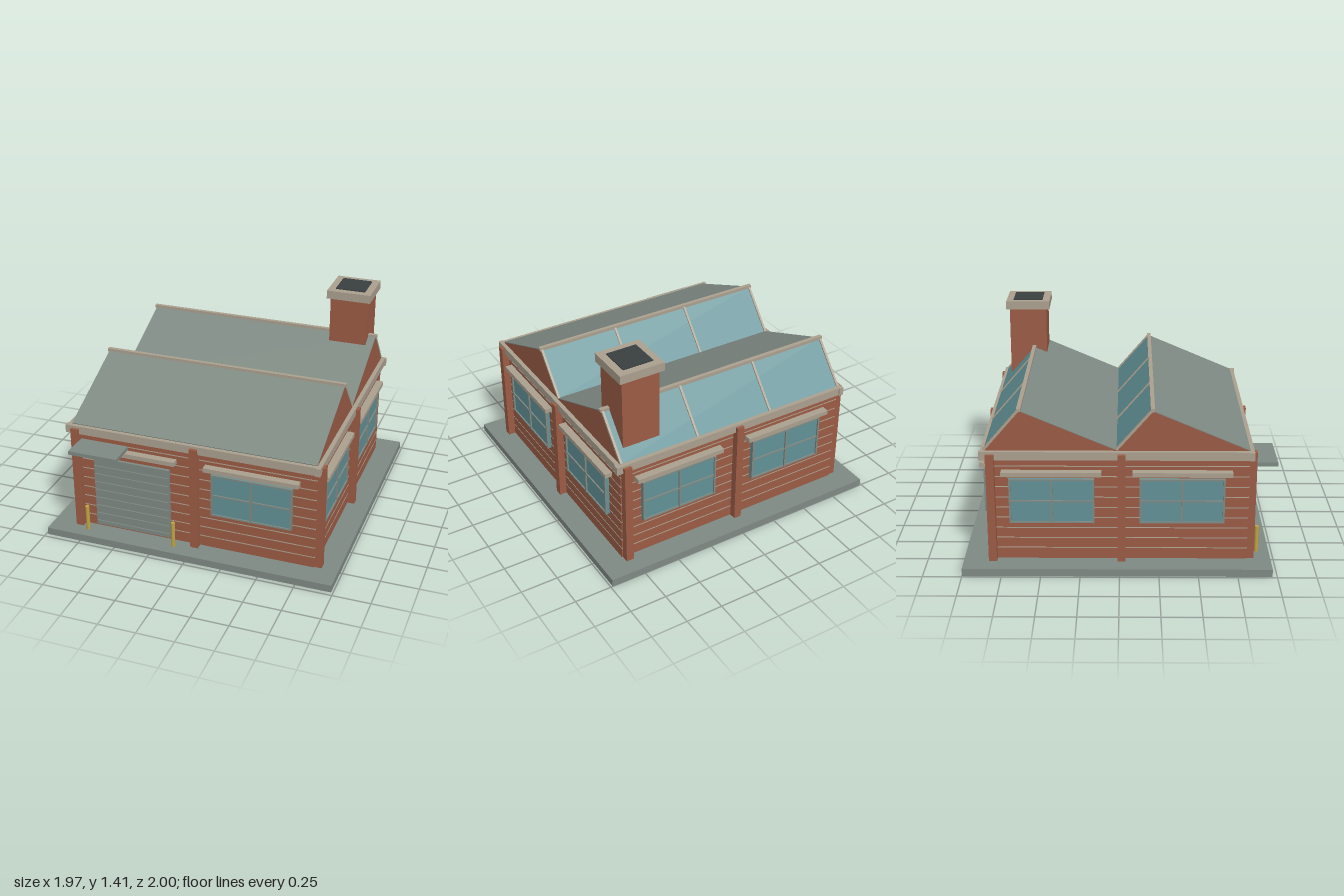
import * as THREE from 'three';

const mat = (name, color) => {
  const m = new THREE.MeshStandardMaterial({ color });
  m.name = name;
  return m;
};

export function createModel() {
  const brick = mat('brick', 0x9b5c45);
  const concrete = mat('concrete grey', 0x7f8a83);
  const trim = mat('stone trim', 0xaba08f);
  const glass = mat('glass', 0x629297);
  const soot = mat('soot', 0x3a4040);
  const yellow = mat('safety yellow', 0xc2a445);

  const model = new THREE.Group();
  model.name = 'workshop';
  const site = new THREE.Group();
  site.name = 'site';
  site.position.z = -0.015;
  model.add(site);

  const add = (parent, name, geometry, material, x, y, z) => {
    const mesh = new THREE.Mesh(geometry, material);
    mesh.name = name;
    mesh.position.set(x, y, z);
    parent.add(mesh);
    return mesh;
  };
  // Box given by its limits on each axis
  const box = (parent, name, material, [x0, x1], [y0, y1], [z0, z1]) =>
    add(parent, name, new THREE.BoxGeometry(x1 - x0, y1 - y0, z1 - z0), material,
      (x0 + x1) / 2, (y0 + y1) / 2, (z0 + z1) / 2);

  const W = 0.83; // half width of the walls
  const EAVE = 0.795, RIDGE = 1.055;

  box(site, 'groundSlab', concrete, [-0.987, 0.987], [0, 0.05], [-0.985, 0.985]);
  box(site, 'walls', brick, [-W, W], [0.05, EAVE - 0.005], [-W, W]);

  const lintel = (side, cx) =>
    box(side, 'lintel', trim, [cx - 0.315, cx + 0.315], [0.635, 0.665], [W, 0.88]);

  const addWindow = (side, cx) => {
    const g = new THREE.Group();
    g.name = 'window';
    side.add(g);
    const l = cx - 0.27, r = cx + 0.27, b = 0.31, t = 0.61;
    box(g, 'pane', glass, [l, r], [b, t], [W, 0.849]);
    for (const x of [l + 0.006, cx, r - 0.006])
      box(g, 'uprightBar', concrete, [x - 0.006, x + 0.006], [b, t], [W, 0.86]);
    for (const y of [b + 0.005, (b + t) / 2, t - 0.005])
      box(g, 'crossBar', concrete, [l, r], [y - 0.005, y + 0.005], [W, 0.858]);
    lintel(side, cx);
  };

  const addDoor = (side, cx) => {
    const g = new THREE.Group();
    g.name = 'rollerDoor';
    side.add(g);
    box(g, 'doorPanel', concrete, [cx - 0.265, cx + 0.265], [0.07, 0.58], [W, 0.85]);
    for (let i = 0; i < 8; i++) {
      const y = 0.097 + i * 0.06;
      box(g, 'doorRib', concrete, [cx - 0.26, cx + 0.26], [y - 0.006, y + 0.006], [W, 0.858]);
    }
    lintel(side, cx);
    box(side, 'awning', concrete, [-0.775, -0.44], [0.67, 0.695], [W, 1.015]);
    for (const x of [-0.722, -0.108])
      add(side, 'bollard', new THREE.CylinderGeometry(0.014, 0.014, 0.18, 8), yellow, x, 0.14, 0.903);
  };

  // Four sides, each turned a quarter from the last
  ['front', 'left', 'back', 'right'].forEach((name, i) => {
    const side = new THREE.Group();
    side.name = name + 'Side';
    side.rotation.y = i * Math.PI / 2;
    site.add(side);
    for (const x of [-0.797, 0.027])
      box(side, 'pilaster', brick, [x - 0.026, x + 0.026], [0.05, 0.78], [W - 0.01, 0.878]);
    for (let k = 0; k < 9; k++) {
      const y = 0.126 + k * 0.0705;
      box(side, 'mortarLine', trim, [-W, W], [y - 0.003, y + 0.003], [W - 0.005, W + 0.002]);
    }
    box(side, 'parapetBand', trim, [-0.866, 0.846], [0.74, EAVE], [W - 0.005, 0.858]);
    if (i === 0) addDoor(side, -0.415);
    else addWindow(side, -0.415);
    addWindow(side, 0.41);
  });

  // Sloped plate lying on the line from (z0, y0) to (z1, y1), with z0 < z1
  const slope = (parent, name, material, x, width, thick, [z0, y0], [z1, y1]) => {
    const a = -Math.atan2(y1 - y0, z1 - z0);
    const len = Math.hypot(y1 - y0, z1 - z0);
    const mesh = add(parent, name, new THREE.BoxGeometry(width, thick, len), material, x,
      (y0 + y1) / 2 + Math.cos(a) * thick / 2, (z0 + z1) / 2 + Math.sin(a) * thick / 2);
    mesh.rotation.x = a;
  };

  // Two sawtooth roof bays: grey slope to the front, glazing to the back
  for (const z of [0, -W]) {
    const bay = new THREE.Group();
    bay.name = 'roofBay';
    bay.position.z = z;
    site.add(bay);
    const back = [0, EAVE], top = [0.222, RIDGE], front = [W, EAVE];
    const shape = new THREE.Shape([
      new THREE.Vector2(0, EAVE - 0.01), new THREE.Vector2(W, EAVE - 0.01),
      new THREE.Vector2(...front), new THREE.Vector2(...top), new THREE.Vector2(...back)]);
    const gable = new THREE.ExtrudeGeometry(shape, { depth: 2 * W, bevelEnabled: false });
    gable.translate(0, 0, -W).rotateY(-Math.PI / 2);
    add(bay, 'gables', gable, brick, 0, 0, 0);
    slope(bay, 'roofSlope', concrete, 0, 2 * W, 0.005, top, front);
    slope(bay, 'skylight', glass, 0, 2 * W, 0.008, back, top);
    for (const x of [-0.825, -0.275, 0.275, 0.825])
      slope(bay, 'skylightBar', trim, x, 0.015, 0.016, back, top);
    box(bay, 'ridgeCap', trim, [-0.84, 0.84], [RIDGE - 0.002, RIDGE + 0.02], [0.207, 0.233]);
  }

  // Chimney
  const chimney = new THREE.Group();
  chimney.name = 'chimney';
  chimney.position.set(0.648, 0, -0.65);
  site.add(chimney);
  box(chimney, 'stack', brick, [-0.13, 0.13], [EAVE - 0.01, 1.35], [-0.13, 0.13]);
  box(chimney, 'cap', trim, [-0.153, 0.153], [1.345, 1.403], [-0.153, 0.153]);
  box(chimney, 'flue', soot, [-0.103, 0.103], [1.4, 1.41], [-0.103, 0.103]);

  return model;
}
